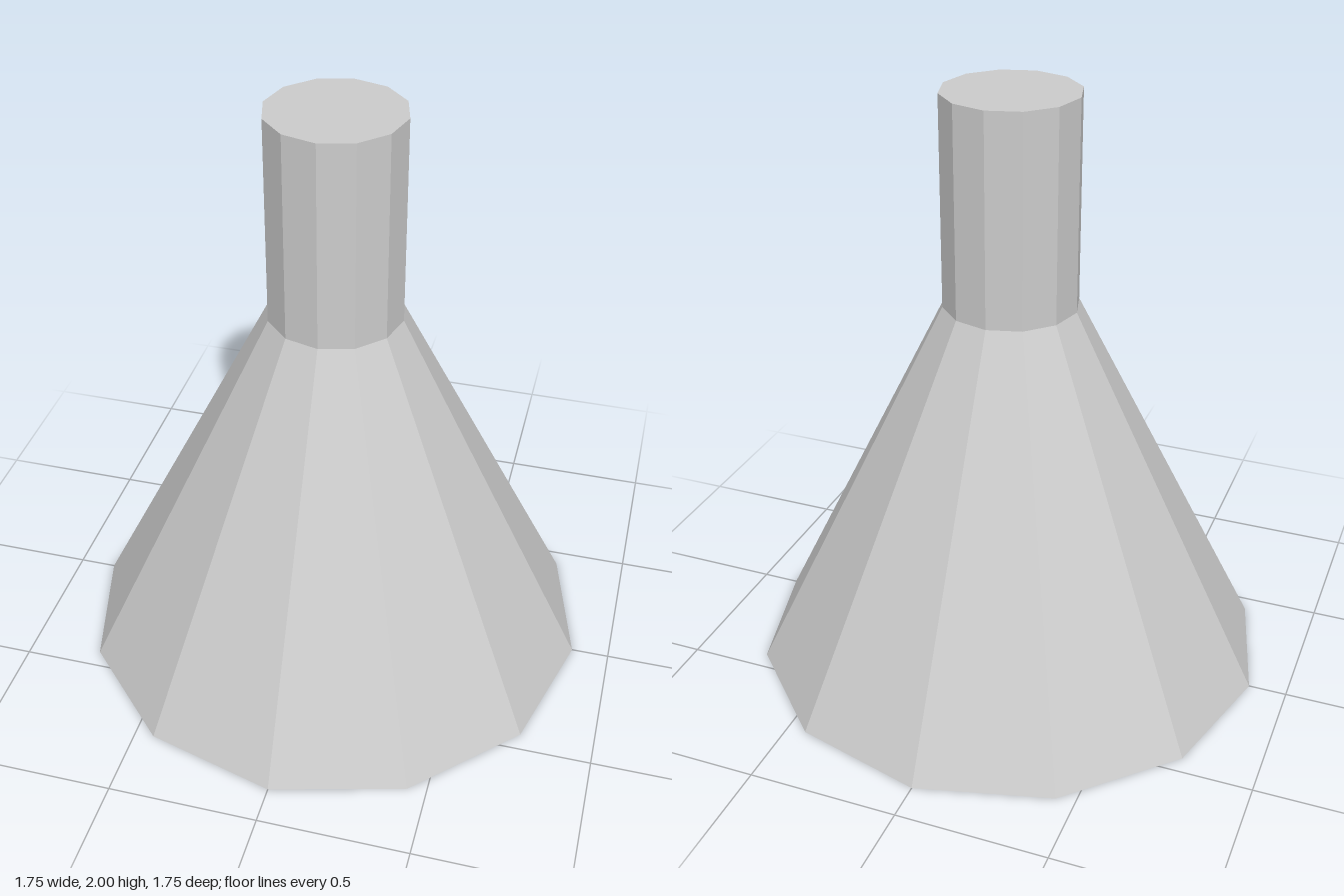
import * as THREE from 'three';

const SIDES = 12;
const BASE_RADIUS = 0.873;
const NECK_RADIUS = 0.223;
const SHOULDER_Y = 1.3;
const TOP_Y = 2;

const material = new THREE.MeshStandardMaterial({ color: 0xcccccc, flatShading: true });

// Turns a [radius, height] profile, listed bottom to top, into a faceted part
function turned(name, profile) {
  const points = profile.map(([r, y]) => new THREE.Vector2(r, y));
  const mesh = new THREE.Mesh(new THREE.LatheGeometry(points, SIDES), material);
  mesh.name = name;
  return mesh;
}

export function createModel() {
  const flask = new THREE.Group();
  flask.name = 'conicalFlask';

  // Conical body with a closed flat bottom
  flask.add(turned('body', [[0, 0], [BASE_RADIUS, 0], [NECK_RADIUS, SHOULDER_Y]]));

  // Straight neck with a closed flat top
  flask.add(turned('neck', [[NECK_RADIUS, SHOULDER_Y], [NECK_RADIUS, TOP_Y], [0, TOP_Y]]));

  return flask;
}
